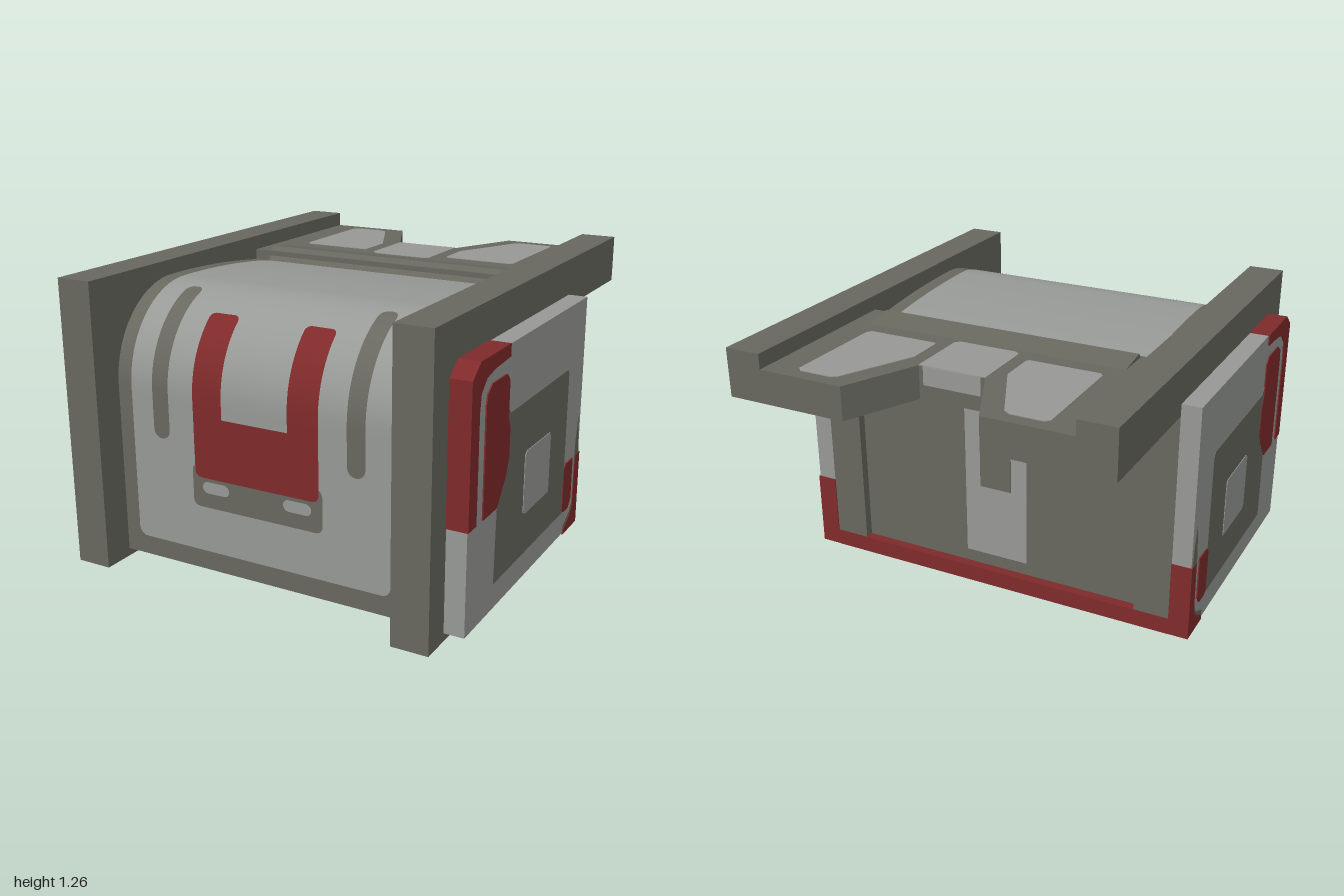
import * as THREE from 'three';
import { toCreasedNormals } from 'three/addons/utils/BufferGeometryUtils.js';
import { ConvexGeometry } from 'three/addons/geometries/ConvexGeometry.js';

export function createModel() {
  const root = new THREE.Group();
  const paint = (name, color) => {
    const m = new THREE.MeshStandardMaterial({ color });
    m.name = name;
    return m;
  };
  const dark = paint('dark grey', 0x68685f);
  const light = paint('light grey', 0x989a97);
  const red = paint('dark red', 0x7f2a2a);

  const add = (name, geometry, material) => {
    const mesh = new THREE.Mesh(geometry, material);
    mesh.name = name;
    root.add(mesh);
    return mesh;
  };
  // Box given by its limits
  const box = (name, [x0, x1], [y0, y1], [z0, z1], material) =>
    add(name, new THREE.BoxGeometry(x1 - x0, y1 - y0, z1 - z0)
      .translate((x0 + x1) / 2, (y0 + y1) / 2, (z0 + z1) / 2), material);
  const extrude = (pts, depth) => new THREE.ExtrudeGeometry(
    new THREE.Shape(pts.map(([a, b]) => new THREE.Vector2(a, b))), { depth, bevelEnabled: false });
  // Outline in (z, y), extruded outward along x on side s
  const sideGeometry = (pts, s, x0, depth) => extrude(pts.map(([z, y]) => [-s * z, y]), depth)
    .rotateY(s * Math.PI / 2).translate(s * x0, 0, 0);
  // Outline in (x, z), extruded upward
  const flatGeometry = (pts, y0, h) => extrude(pts.map(([x, z]) => [x, -z]), h)
    .rotateX(-Math.PI / 2).translate(0, y0, 0);

  // Front skin: upright, then a quarter arc, then a gently falling top
  const ARC = 1.42, END = 2.06;
  const skin = (t) => {
    if (t <= 0.8) return [0.86, t];
    if (t <= ARC) {
      const a = (t - 0.8) / (ARC - 0.8) * Math.PI / 2;
      return [0.47 + 0.39 * Math.cos(a), 0.8 + 0.4 * Math.sin(a)];
    }
    const u = t - ARC;
    return [0.47 - u, 1.2 - 0.045 * (u / (END - ARC)) ** 2];
  };
  const onSkin = (off) => (x, t) => {
    const [z, y] = skin(t), [za, ya] = skin(t - 0.002), [zb, yb] = skin(t + 0.002);
    const l = Math.hypot(zb - za, yb - ya);
    return [x, y - (zb - za) / l * off, z + (yb - ya) / l * off];
  };
  // Shallow hipped underside
  const onBelly = (x, z) => [x, 0.001 + 0.05 * Math.max(
    Math.abs(x) / 0.68, (z - 0.58) / 0.28, (0.22 - z) / 0.59), z];

  // Rounded rectangle draped over a surface, in rows along t
  const drape = (name, map, [x0, x1], [t0, t1], r, material) => {
    const rows = [], cols = 8, pos = [], idx = [];
    const corner = [0, 1, 2, 3, 4].map((k) => k / 4 * Math.PI / 2);
    corner.forEach((a) => rows.push([t0 + r * (1 - Math.cos(a)), r * (1 - Math.sin(a))]));
    const n = Math.ceil((t1 - t0 - 2 * r) / 0.03);
    for (let i = 1; i < n; i++) rows.push([t0 + r + (t1 - t0 - 2 * r) * i / n, 0]);
    corner.forEach((a) => rows.push([t1 - r * (1 - Math.sin(a)), r * (1 - Math.cos(a))]));
    rows.forEach(([t, inset]) => {
      for (let c = 0; c <= cols; c++)
        pos.push(...map(x0 + inset + (x1 - x0 - 2 * inset) * c / cols, t));
    });
    for (let i = 0; i < rows.length - 1; i++) for (let c = 0; c < cols; c++) {
      const a = i * (cols + 1) + c, d = a + cols + 1;
      idx.push(a, a + 1, d + 1, a, d + 1, d);
    }
    const g = new THREE.BufferGeometry();
    g.setAttribute('position', new THREE.Float32BufferAttribute(pos, 3));
    g.setIndex(idx);
    g.computeVertexNormals();
    add(name, g, material);
  };

  // Main body with the curved front
  const profile = [[-0.33, 0.05], [0.86, 0.05]];
  for (let i = 0; i <= 24; i++) profile.push(skin(0.8 + (ARC - 0.8) * i / 24));
  for (let i = 1; i <= 8; i++) profile.push(skin(ARC + (END - ARC) * i / 8));
  profile.push([-0.33, 1.15]);
  add('body', toCreasedNormals(sideGeometry(profile, 1, -0.68, 1.36), 0.4), dark);
  add('belly', new ConvexGeometry([
    [0.68, 0.05, 0.86], [-0.68, 0.05, 0.86], [0.68, 0.05, -0.37], [-0.68, 0.05, -0.37],
    [0, 0.003, 0.58], [0, 0.003, 0.22], [0, 0.08, 0.2],
  ].map((p) => new THREE.Vector3(...p))), dark);
  drape('bellyBar', onBelly, [-0.5, 0.5], [0.3, 0.42], 0.04, light);
  drape('bellyPatch', onBelly, [-0.42, 0.42], [-0.26, -0.08], 0.08, light);

  // Painted front
  drape('frontSkin', onSkin(0.002), [-0.61, 0.61], [0.135, END], 0.04, light);
  drape('mouthBand', onSkin(0.004), [-0.31, 0.31], [0.335, 0.52], 0.03, dark);
  drape('markBase', onSkin(0.006), [-0.295, 0.295], [0.465, 0.73], 0.03, red);
  for (const s of [1, -1]) {
    const span = (a, b) => (s > 0 ? [a, b] : [-b, -a]);
    drape('markArm', onSkin(0.006), span(0.155, 0.295), [0.6, 1.166], 0.025, red);
    drape('frontStripe', onSkin(0.004), span(0.42, 0.5), [0.6, 1.31], 0.038, dark);
    drape('mouthLight', onSkin(0.006), span(0.13, 0.26), [0.4, 0.45], 0.024, light);
  }

  // Rear deck with its notch, and the ridge in front of it
  add('rearDeck', flatGeometry([[-0.7, -0.19], [0.7, -0.19], [0.7, -1], [0.3, -1],
    [0.15, -0.68], [-0.15, -0.68], [-0.3, -1], [-0.7, -1]], 1.055, 0.145), dark);
  add('deckRidge', sideGeometry([[-0.36, 1.2], [-0.36, 1.15], [-0.17, 1.15], [-0.22, 1.22]],
    1, -0.6, 1.2), dark);
  add('deckCentrePatch', flatGeometry([[-0.15, -0.68], [0.15, -0.68], [0.15, -0.4],
    [0.13, -0.38], [-0.13, -0.38], [-0.15, -0.4]], 1.2, 0.003), light);
  box('notchPatch', [-0.13, 0.13], [1.12, 1.2], [-0.683, -0.68], light);

  // Back wall details
  box('backPatch', [-0.15, 0.15], [0.18, 0.89], [-0.334, -0.33], light);
  box('backPatchCentre', [-0.075, 0.075], [0.52, 0.78], [-0.338, -0.334], dark);
  box('rearLip', [-0.84, 0.84], [0.045, 0.12], [-0.374, -0.28], red);

  for (const s of [1, -1]) {
    const span = (a, b) => (s > 0 ? [a, b] : [-b, -a]);
    const side = (name, pts, x0, depth, material) =>
      add(name, sideGeometry(pts, s, x0, depth), material);

    // Deck patches, above and below
    const patch = [[0.21, -0.45], [0.22, -0.44], [0.53, -0.44], [0.545, -0.46], [0.55, -0.92],
      [0.53, -0.94], [0.39, -0.94], [0.36, -0.92], [0.21, -0.61]].map(([x, z]) => [s * x, z]);
    add('deckPatch', flatGeometry(patch, 1.2, 0.003), light);
    add('deckUnderPatch', flatGeometry(patch, 1.052, 0.003), light);

    // L-shaped rail and the core block behind the side panel
    side('rail', [[1, 0.015], [1, 1.265], [-1, 1.265], [-1, 1.055], [0.17, 1.055], [0.17, 0.015]],
      0.68, 0.16, dark);
    box('rearPost', span(0.68, 0.84), [0.05, 1.06], [-0.37, 0.3], dark);

    // Side panel with painted shapes
    side('sidePanel', [[0.87, 0.05], [0.87, 1.055], [0.8, 1.107], [-0.37, 1.107], [-0.37, 0.05]],
      0.84, 0.085, light);
    side('panelDark', [[0.61, 0.16], [0.6, 0.5], [0.5, 0.62], [0.52, 0.86], [0.49, 0.83],
      [-0.16, 0.83], [-0.175, 0.81], [-0.175, 0.16]], 0.925, 0.003, dark);
    side('panelSquare', [[0.32, 0.35], [0.32, 0.6], [0.3, 0.615], [0.04, 0.61], [0.03, 0.59],
      [0.03, 0.34], [0.3, 0.34]], 0.928, 0.003, light);
    side('panelRedPatch', [[0.74, 0.48], [0.74, 0.93], [0.73, 0.97], [0.69, 1], [0.55, 1],
      [0.52, 0.97], [0.52, 0.82], [0.5, 0.77], [0.5, 0.65], [0.53, 0.58], [0.61, 0.48]],
      0.925, 0.006, red);
    side('panelRedCorner', [[0.874, 0.48], [0.874, 1.056], [0.802, 1.111], [0.52, 1.111],
      [0.52, 1.06], [0.67, 1.05], [0.74, 1.035], [0.79, 0.99], [0.8, 0.92], [0.8, 0.48]],
      0.839, 0.091, red);
    side('rearSliver', [[-0.365, 0.4], [-0.35, 0.5], [-0.335, 0.57], [-0.315, 0.46], [-0.31, 0.39],
      [-0.31, 0.18], [-0.28, 0.13], [-0.2, 0.09], [-0.2, 0.06], [-0.36, 0.06]], 0.925, 0.003, dark);
    side('rearRedPatch', [[-0.19, 0.16], [-0.17, 0.18], [-0.17, 0.37], [-0.19, 0.39], [-0.28, 0.39],
      [-0.28, 0.2], [-0.25, 0.16]], 0.925, 0.006, red);
    side('rearRedCorner', [[-0.32, 0.39], [-0.374, 0.39], [-0.374, 0.046], [-0.2, 0.046],
      [-0.21, 0.07], [-0.28, 0.11], [-0.31, 0.15], [-0.315, 0.3]], 0.839, 0.091, red);
  }
  return root;
}
